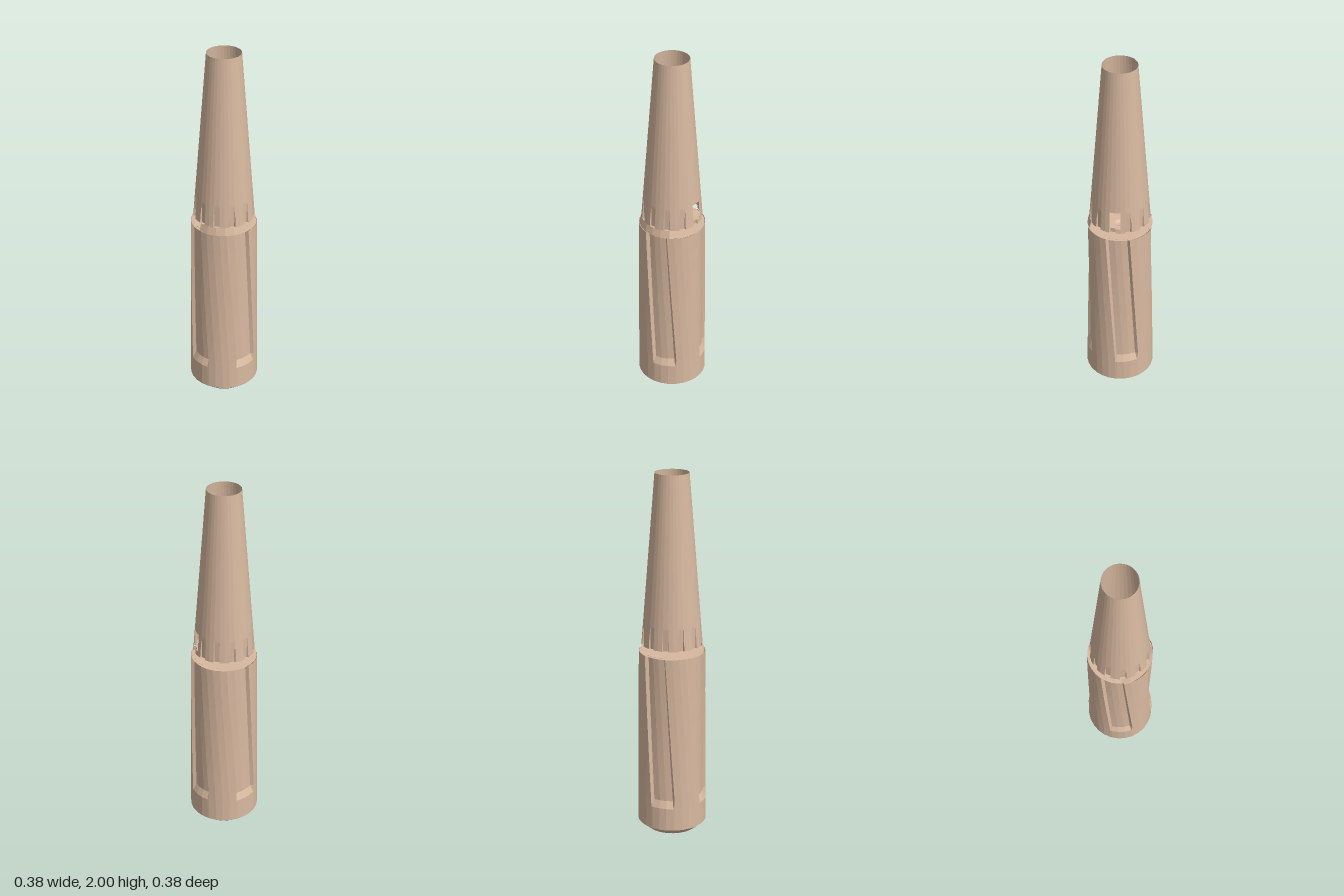
import * as THREE from 'three';

const RAD = Math.PI / 180;

// Closed loft: angles in degrees (0 = front, growing towards +x), rows of heights,
// point(angle, y) gives { r, a }; skip(angle, y) leaves a face out.
function loft(angles, rows, point, skip = () => false) {
  const pos = [], idx = [], n = angles.length;
  rows.forEach((y) => angles.forEach((a0) => {
    const { r, a } = point(a0, y);
    pos.push(r * Math.sin(a * RAD), y, r * Math.cos(a * RAD));
  }));
  for (let j = 0; j < rows.length - 1; j++) {
    for (let i = 0; i < n; i++) {
      if (skip(angles[i], rows[j])) continue;
      const k = (i + 1) % n;
      const a = j * n + i, b = j * n + k, c = b + n, d = a + n;
      idx.push(a, b, c, a, c, d);
    }
  }
  const g = new THREE.BufferGeometry();
  g.setAttribute('position', new THREE.Float32BufferAttribute(pos, 3));
  g.setIndex(idx);
  const flat = g.toNonIndexed();
  flat.computeVertexNormals();
  return flat;
}

export function createModel() {
  const group = new THREE.Group();
  const tan = new THREE.MeshStandardMaterial({ color: 0xd8b9a0, flatShading: true, side: THREE.DoubleSide });
  tan.name = 'tan';
  const add = (name, geometry, y = 0) => {
    const mesh = new THREE.Mesh(geometry, tan);
    mesh.name = name;
    mesh.position.y = y;
    group.add(mesh);
    return mesh;
  };

  // Lower body with four twisted grooves
  const offsets = [-21, -18, -6, 6, 18, 21, 33, 45, 57];
  const bodyAngles = [];
  for (let q = 0; q < 4; q++) offsets.forEach((o) => bodyAngles.push(q * 90 - 33 + o));
  const bodyRows = [0.04, 0.17, 0.21, 0.35, 0.5, 0.65, 0.8, 0.92, 1.035];
  add('groovedBody', loft(bodyAngles, bodyRows, (a, y) => {
    const local = ((a + 33 + 45) % 90 + 90) % 90 - 45;
    const up = Math.max(0, (y - 0.17) / 0.865);
    const cut = y > 0.2 && Math.abs(local) < 20 ? 0.018 : 0;
    return { r: 0.192 - 0.012 * y - cut, a: a - 17 * up };
  }));

  // Chamfered foot and its flat underside
  add('footChamfer', new THREE.CylinderGeometry(0.191, 0.145, 0.04, 24, 1, true), 0.02);
  add('footCap', new THREE.CircleGeometry(0.145, 24).rotateX(Math.PI / 2));

  // Shoulder ledge and socket floor with a small centre dimple
  const floor = [[0.012, 1.015], [0.03, 1.025], [0.162, 1.03]].map((p) => new THREE.Vector2(...p));
  add('socketFloor', new THREE.LatheGeometry(floor.reverse(), 24));
  add('dimple', new THREE.CircleGeometry(0.012, 16).rotateX(-Math.PI / 2), 1.015);
  add('shoulder', new THREE.RingGeometry(0.155, 0.176, 36).rotateX(-Math.PI / 2), 1.034);

  // Front bridge joining the body to the sleeve
  add('bridge', new THREE.CylinderGeometry(0.164, 0.176, 0.04, 6, 1, true, -33 * RAD, 98 * RAD), 1.054);

  // Tapered open sleeve, fluted at its lower edge, with one window at the back
  const sleeveAngles = [];
  for (let i = 0; i < 12; i++) [-6, -5, 5, 6, 15].forEach((o) => sleeveAngles.push(i * 30 + o));
  const sleeveRows = [1.075, 1.1, 1.19, 1.2, 1.5, 2];
  add('taperedSleeve', loft(sleeveAngles, sleeveRows, (a, y) => {
    const local = ((a + 15) % 30 + 30) % 30 - 15;
    const cut = y < 1.195 && Math.abs(local) < 5.5 ? 0.012 * (1.195 - y) / 0.12 : 0;
    return { r: 0.165 - 0.0743 * (y - 1.075) / 0.925 - cut, a };
  }, (a, y) => a >= 114 && a < 135 && y > 1.09 && y < 1.195));

  return group;
}
